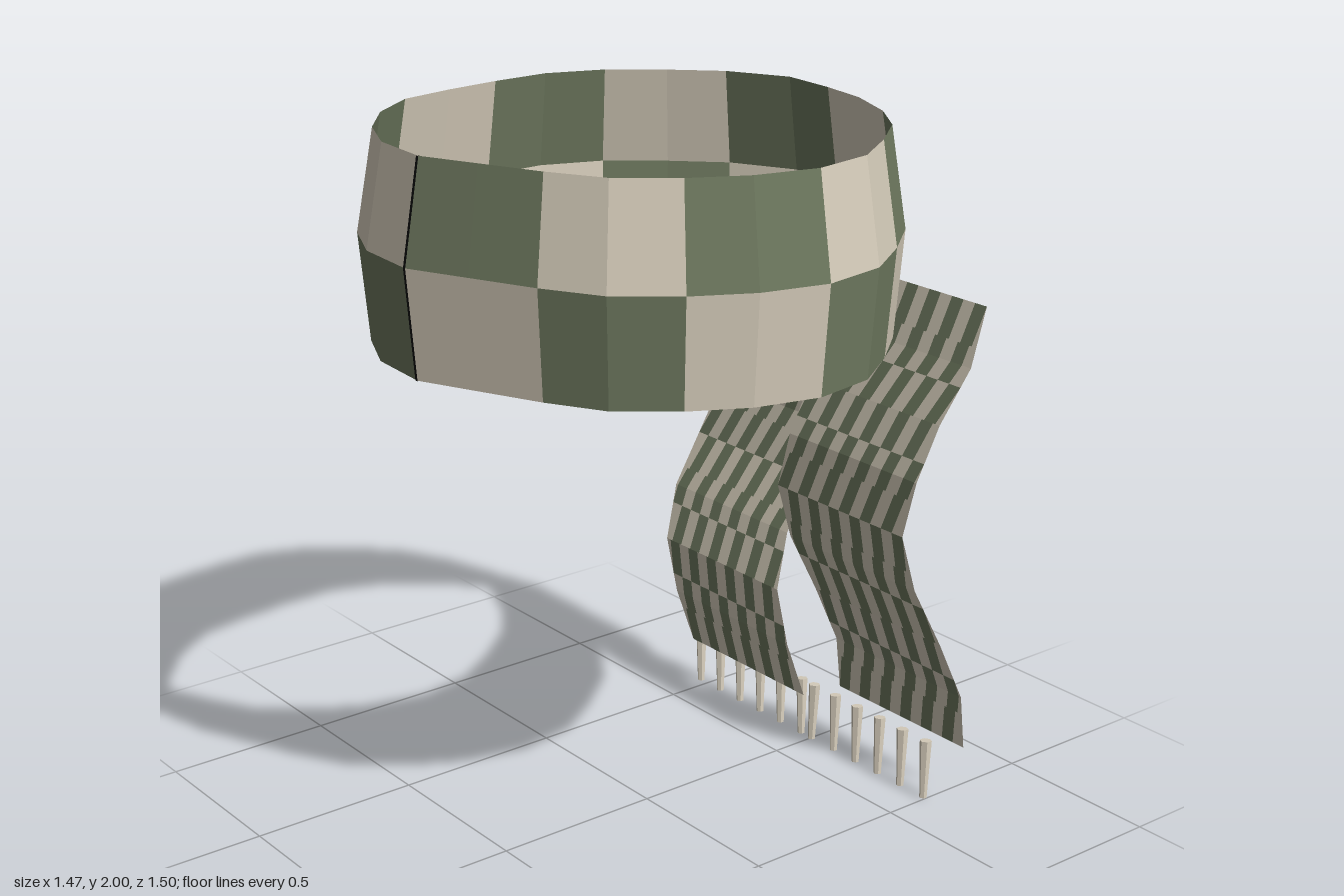
import * as THREE from 'three';

const mat = (name, color, side = THREE.DoubleSide) => {
  const m = new THREE.MeshStandardMaterial({ color, side });
  m.name = name;
  return m;
};

// Collects flat quads a-b-c-d (counter-clockwise from the front) into one mesh
function quadMesh(name, quads, material) {
  const pos = [];
  for (const [a, b, c, d] of quads) pos.push(...a, ...b, ...c, ...a, ...c, ...d);
  const g = new THREE.BufferGeometry();
  g.setAttribute('position', new THREE.Float32BufferAttribute(pos, 3));
  g.computeVertexNormals();
  const mesh = new THREE.Mesh(g, material);
  mesh.name = name;
  return mesh;
}

// Plan of the neck loop (x, z), from the front seam round by -x
const LOOP = [
  [-0.03, 0.745], [-0.235, 0.73], [-0.41, 0.65], [-0.565, 0.525], [-0.675, 0.37], [-0.71, 0.19],
  [-0.73, 0.01], [-0.735, -0.18], [-0.67, -0.36], [-0.55, -0.51], [-0.42, -0.64], [-0.23, -0.735],
  [-0.04, -0.72], [0.13, -0.69], [0.31, -0.615], [0.46, -0.51], [0.585, -0.36], [0.695, -0.195],
  [0.73, 0], [0.685, 0.19], [0.6, 0.35], [0.48, 0.5], [0.32, 0.59], [0.14, 0.67],
];
const RINGS = [[1.42, 0.967], [1.72, 1], [2, 0.935]]; // height, plan scale

// Hanging ends: left edge x and z at equal steps from bottom to top
const Y0 = 0.155, Y1 = 1.485, WIDTH = 0.53;
const ENDS = {
  rightEnd: {
    x: [-0.53, -0.565, -0.61, -0.627, -0.6, -0.555, -0.52, -0.525, -0.535],
    z: [-0.605, -0.565, -0.56, -0.61, -0.68, -0.73, -0.75, -0.72, -0.65],
  },
  leftEnd: {
    x: [0.02, 0.02, -0.02, -0.07, -0.09, -0.06, -0.03, 0.02, 0.02],
    z: [-0.735, -0.715, -0.66, -0.6, -0.563, -0.58, -0.63, -0.69, -0.74],
  },
};

export function createModel() {
  const group = new THREE.Group();
  const green = mat('sage green', 0x6f7a60);
  const cream = mat('cream', 0xd6cdbb);
  const black = mat('seam black', 0x0c0c0c);

  // Neck loop: two rows of checks, each check two facets wide
  const at = (i, r, grow = 1) => {
    const [x, z] = LOOP[i % LOOP.length];
    const [y, s] = RINGS[r];
    return [x * s * grow, y, z * s * grow];
  };
  const checks = { green: [], cream: [] };
  for (let r = 0; r < 2; r++) {
    for (let i = 0; i < LOOP.length; i++) {
      const light = ((i >> 1) + r) % 2 === 1;
      checks[light ? 'cream' : 'green'].push([at(i + 1, r), at(i, r), at(i, r + 1), at(i + 1, r + 1)]);
    }
  }
  const neck = new THREE.Group();
  neck.name = 'neckLoop';
  neck.add(quadMesh('greenChecks', checks.green, green), quadMesh('creamChecks', checks.cream, cream));

  // Narrow seam at the front, outside and inside
  const seam = [];
  for (const grow of [0.996, 1.004]) {
    for (let r = 0; r < 2; r++) {
      const a = at(0, r, grow), b = at(0, r + 1, grow), h = 0.005;
      seam.push([[a[0] - h, a[1], a[2]], [a[0] + h, a[1], a[2]], [b[0] + h, b[1], b[2]], [b[0] - h, b[1], b[2]]]);
    }
  }
  neck.add(quadMesh('seam', seam, black));
  group.add(neck);

  // Hanging ends: wavy cloth with slanted, staggered checks
  const ROWS = 12, COLS = 12, SUB = 4;
  for (const [name, end] of Object.entries(ENDS)) {
    const point = (u, t) => {
      const k = Math.min(Math.floor(t * 8 + 1e-6), 7), f = t * 8 - k;
      const mix = (a) => a[k] + (a[k + 1] - a[k]) * f;
      const v = THREE.MathUtils.clamp(u / COLS, 0, 1);
      return [mix(end.x) + v * WIDTH, Y0 + t * (Y1 - Y0), mix(end.z)];
    };
    const cells = { green: [], cream: [] };
    for (let row = 0; row < ROWS; row++) {
      for (let s = 0; s < SUB; s++) {
        const base = row % 2 ? 0.6 : 0;
        const lo = base + 0.4 * s / SUB, hi = base + 0.4 * (s + 1) / SUB;
        const t0 = (row + s / SUB) / ROWS, t1 = (row + (s + 1) / SUB) / ROWS;
        for (let c = -1; c < COLS; c++) {
          if (c + 1 + hi <= 0) continue;
          cells[c & 1 ? 'cream' : 'green'].push(
            [point(c + lo, t0), point(c + 1 + lo, t0), point(c + 1 + hi, t1), point(c + hi, t1)]);
        }
      }
    }
    const part = new THREE.Group();
    part.name = name;
    part.add(quadMesh('greenKnit', cells.green, green), quadMesh('creamKnit', cells.cream, cream));
    group.add(part);
  }

  // Fringe: two sets of six slightly leaning tassels
  const fringe = new THREE.Group();
  fringe.name = 'fringe';
  const tasselGeo = new THREE.CylinderGeometry(0.018, 0.011, 0.176, 6).toNonIndexed();
  tasselGeo.computeVertexNormals();
  for (const [start, lean] of [[-0.538, 0.1], [0.0, 0.07]]) {
    for (let i = 0; i < 6; i++) {
      const tassel = new THREE.Mesh(tasselGeo, cream);
      tassel.name = 'tassel';
      tassel.position.set(start + i * 0.097, 0.089, -0.645);
      tassel.rotation.set(-0.08, 0, i === 0 && start === 0 ? 0.04 : lean);
      fringe.add(tassel);
    }
  }
  group.add(fringe);
  return group;
}
